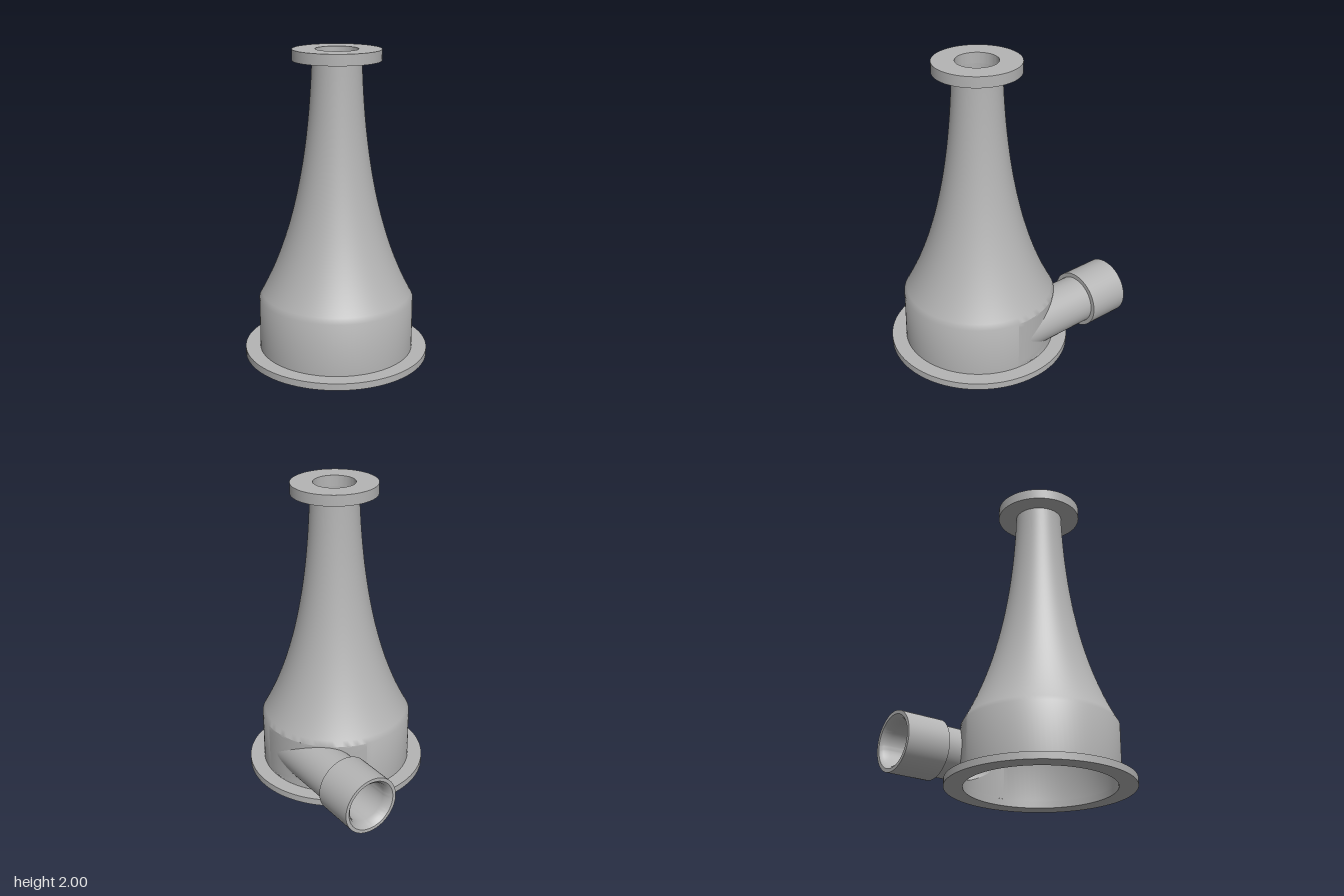
import * as THREE from 'three';
import { mergeGeometries, toCreasedNormals } from 'three/addons/utils/BufferGeometryUtils.js';

const SEG = 96, STEP = (Math.PI * 2) / SEG;
const WALL_LOW = 0.045, WALL_TOP = 0.39;   // straight wall heights
const R_OUT = 0.503, R_IN = 0.48;          // body radii
const PIPE_X = 0.34, PIPE_Y = 0.222, PIPE_R = 0.162, BORE_R = 0.138;
const COLLAR_START = 0.575, COLLAR_END = 0.86;

// Lathe from [radius, height] pairs
function lathe(points, phiStart = 0, segments = SEG) {
  const profile = points.map(([r, y]) => new THREE.Vector2(r, y));
  return new THREE.LatheGeometry(profile, segments, phiStart, segments * STEP);
}
const ring = (points) => lathe([...points, points[0]]);

// Grid surface: f(u, v) returns [x, y, z]
function surface(nu, nv, f) {
  const g = new THREE.PlaneGeometry(1, 1, nu, nv);
  const { position, uv } = g.attributes;
  for (let i = 0; i < position.count; i++) position.setXYZ(i, ...f(uv.getX(i), uv.getY(i)));
  return g;
}

// Part of the straight wall that surrounds the pipe opening
function holedWall(radius, hole, inside) {
  const lo = 22 * STEP, hi = 45 * STEP;
  const mid = (lo + hi) / 2, half = (hi - lo) / 2;
  const midY = (WALL_LOW + WALL_TOP) / 2, halfY = (WALL_TOP - WALL_LOW) / 2;
  return surface(64, 6, (u, v) => {
    const k = inside ? 1 - v : v;
    const c = Math.cos(u * Math.PI * 2), s = Math.sin(u * Math.PI * 2);
    const m = Math.max(Math.abs(c), Math.abs(s));
    const holePhi = Math.PI - Math.asin((PIPE_X + hole * c) / radius);
    const phi = THREE.MathUtils.lerp(holePhi, mid - (half * c) / m, k);
    const y = THREE.MathUtils.lerp(PIPE_Y + hole * s, midY + (halfY * s) / m, k);
    return [radius * Math.sin(phi), y, radius * Math.cos(phi)];
  });
}

// Pipe skin trimmed to the round wall of the body
function trimmedPipe(r, wallRadius, inside) {
  return surface(64, 1, (u, v) => {
    const k = inside ? 1 - v : v, t = u * Math.PI * 2;
    const x = PIPE_X + r * Math.cos(t);
    const end = -Math.sqrt(wallRadius ** 2 - x ** 2);
    return [x, PIPE_Y + r * Math.sin(t), THREE.MathUtils.lerp(-COLLAR_START, end, k)];
  });
}

// Flaring neck curve
function neck(points) {
  return new THREE.CubicBezierCurve(...points.map((p) => new THREE.Vector2(...p)))
    .getPoints(32).map((p) => [p.x, p.y]);
}

export function createModel() {
  const grey = new THREE.MeshStandardMaterial({ color: 0xb4b4b4, side: THREE.DoubleSide });
  grey.name = 'grey';
  const model = new THREE.Group();
  model.name = 'cycloneHousing';
  const body = new THREE.Group();
  body.name = 'body';
  body.position.z = 0.13;
  model.add(body);

  const add = (name, geometry) => {
    const mesh = new THREE.Mesh(toCreasedNormals(geometry, 0.7), grey);
    mesh.name = name;
    body.add(mesh);
    return mesh;
  };

  // Flanges
  add('baseFlange', ring([[R_IN, 0], [0.6, 0], [0.6, WALL_LOW], [R_IN, WALL_LOW]]));
  add('topFlange', ring([[0.135, 1.93], [0.278, 1.93], [0.278, 2], [0.135, 2]]));

  // Outer and inner skins of the chamber and neck
  const outerNeck = neck([[R_OUT, WALL_TOP], [0.3, 0.75], [0.18, 1.25], [0.156, 1.93]]);
  const innerNeck = neck([[R_IN, WALL_TOP], [0.28, 0.74], [0.16, 1.25], [0.135, 1.93]]).reverse();
  add('outerShell', mergeGeometries([
    lathe([[R_OUT, WALL_LOW], [R_OUT, WALL_TOP]], 45 * STEP, 73),
    holedWall(R_OUT, PIPE_R, false),
    lathe(outerNeck),
  ]));
  add('innerShell', mergeGeometries([
    lathe([[R_IN, WALL_TOP], [R_IN, WALL_LOW]], 45 * STEP, 73),
    holedWall(R_IN, BORE_R, true),
    lathe(innerNeck),
  ]));

  // Tangential side pipe
  add('sidePipe', trimmedPipe(PIPE_R, R_OUT, false));
  add('sidePipeBore', trimmedPipe(BORE_R, R_IN, true));

  // Collar with a chamfered mouth
  const collar = add('pipeCollar', ring([
    [BORE_R, COLLAR_START], [0.191, COLLAR_START], [0.191, COLLAR_END],
    [0.168, COLLAR_END], [0.148, 0.84], [BORE_R, 0.8],
  ]));
  collar.rotation.x = -Math.PI / 2;
  collar.position.set(PIPE_X, PIPE_Y, 0);

  return model;
}
